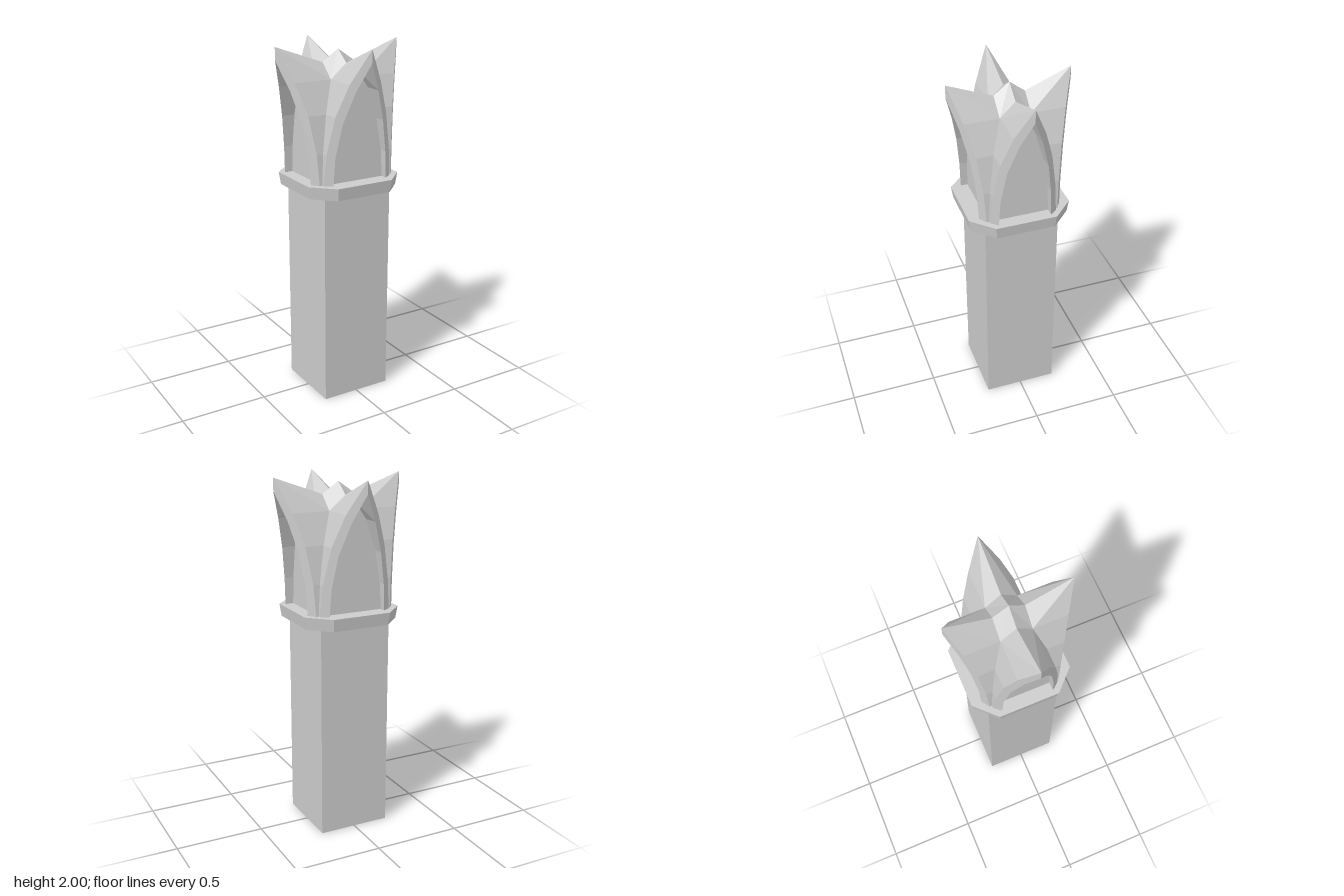
import * as THREE from 'three';

// Arch outlines for one half: [half width as a share of the arch base, height]
const OUTER = [[0, 2], [0.455, 1.82], [0.75, 1.65], [0.935, 1.45], [1, 1.28]];
const INNER = [[0, 1.93], [0.33, 1.78], [0.6, 1.61], [0.75, 1.43], [0.79, 1.28]];
const PANEL_TOP = 1.88;
const RIDGE_Y = 1.9;
const CENTRE_Y = 1.965;

// One gothic arch facing +z: rim, vault web, soffit, recessed panel and roof centre.
// w: half width, tip: depth at the point, foot: depth at the base corners,
// panel: depth of the infill, cross: half width of the neighbouring arch
function archGeometry({ w, tip, foot, panel, cross }) {
  const pos = [];
  for (const side of [1, -1]) {
    const tri = (a, b, c) => {
      for (const p of side > 0 ? [a, b, c] : [a, c, b]) pos.push(p[0] * side, p[1], p[2]);
    };
    const quad = (a, b, c, d) => { tri(a, b, c); tri(a, c, d); };
    const onFace = ([s, y]) => [s * w, y, tip + (foot - tip) * s];
    const outer = OUTER.map(onFace);
    const inner = INNER.map(onFace);
    const valley = OUTER.map(([s, y], i) =>
      i === 0 ? [0, RIDGE_Y, OUTER[1][0] * cross] : [s * w, y, s * cross]);
    const edge = INNER.map(([s, y], i) => [s * w, i === 0 ? PANEL_TOP : y, panel]);
    const axis = edge.map((p) => [0, p[1], panel]);

    for (let i = 0; i < OUTER.length - 1; i++) {
      quad(inner[i], inner[i + 1], outer[i + 1], outer[i]);     // rim
      quad(outer[i], outer[i + 1], valley[i + 1], valley[i]);   // web
      quad(edge[i], edge[i + 1], inner[i + 1], inner[i]);       // soffit
      if (i === 0) tri(axis[0], axis[1], edge[1]);              // panel
      else quad(axis[i], axis[i + 1], edge[i + 1], edge[i]);
    }
    tri([0, CENTRE_Y, 0], valley[0], valley[1]);                // roof centre
  }
  const geo = new THREE.BufferGeometry();
  geo.setAttribute('position', new THREE.Float32BufferAttribute(pos, 3));
  geo.computeVertexNormals();
  return geo;
}

// Octagonal slab with a slightly narrower underside
function collarGeometry(y0, y1) {
  const a = 0.285, b = 0.17;
  const shape = new THREE.Shape(
    [[a, -b], [a, b], [b, a], [-b, a], [-a, b], [-a, -b], [-b, -a], [b, -a]]
      .map(([x, y]) => new THREE.Vector2(x, y)));
  const geo = new THREE.ExtrudeGeometry(shape, { depth: y1 - y0, bevelEnabled: false });
  geo.rotateX(-Math.PI / 2);
  const p = geo.attributes.position;
  for (let i = 0; i < p.count; i++) {
    if (p.getY(i) < 0.01) p.setXYZ(i, p.getX(i) * 0.965, p.getY(i), p.getZ(i) * 0.965);
  }
  geo.translate(0, y0, 0);
  geo.computeVertexNormals();
  return geo;
}

export function createModel() {
  const model = new THREE.Group();
  model.name = 'chimney';
  const stone = new THREE.MeshStandardMaterial({
    color: 0xcccccc, flatShading: true, side: THREE.DoubleSide,
  });
  stone.name = 'pale grey stone';

  const add = (name, geo) => {
    const mesh = new THREE.Mesh(geo, stone);
    mesh.name = name;
    model.add(mesh);
    return mesh;
  };

  // Square shaft, open underneath
  const r = 0.207 * Math.SQRT2;
  const shaft = new THREE.CylinderGeometry(r, r, 1.22, 4, 1, true);
  shaft.rotateY(Math.PI / 4);
  shaft.translate(0, 0.61, 0);
  add('shaft', shaft);

  add('collar', collarGeometry(1.21, 1.28));

  // Crown of four arches: a narrower pair on x, a wider pair on z
  const wide = archGeometry({ w: 0.21, tip: 0.335, foot: 0.2, panel: 0.19, cross: 0.186 });
  const narrow = archGeometry({ w: 0.186, tip: 0.378, foot: 0.225, panel: 0.21, cross: 0.21 });
  ['frontArch', 'leftArch', 'backArch', 'rightArch'].forEach((name, i) => {
    add(name, i % 2 ? narrow : wide).rotation.y = i * Math.PI / 2;
  });

  return model;
}
